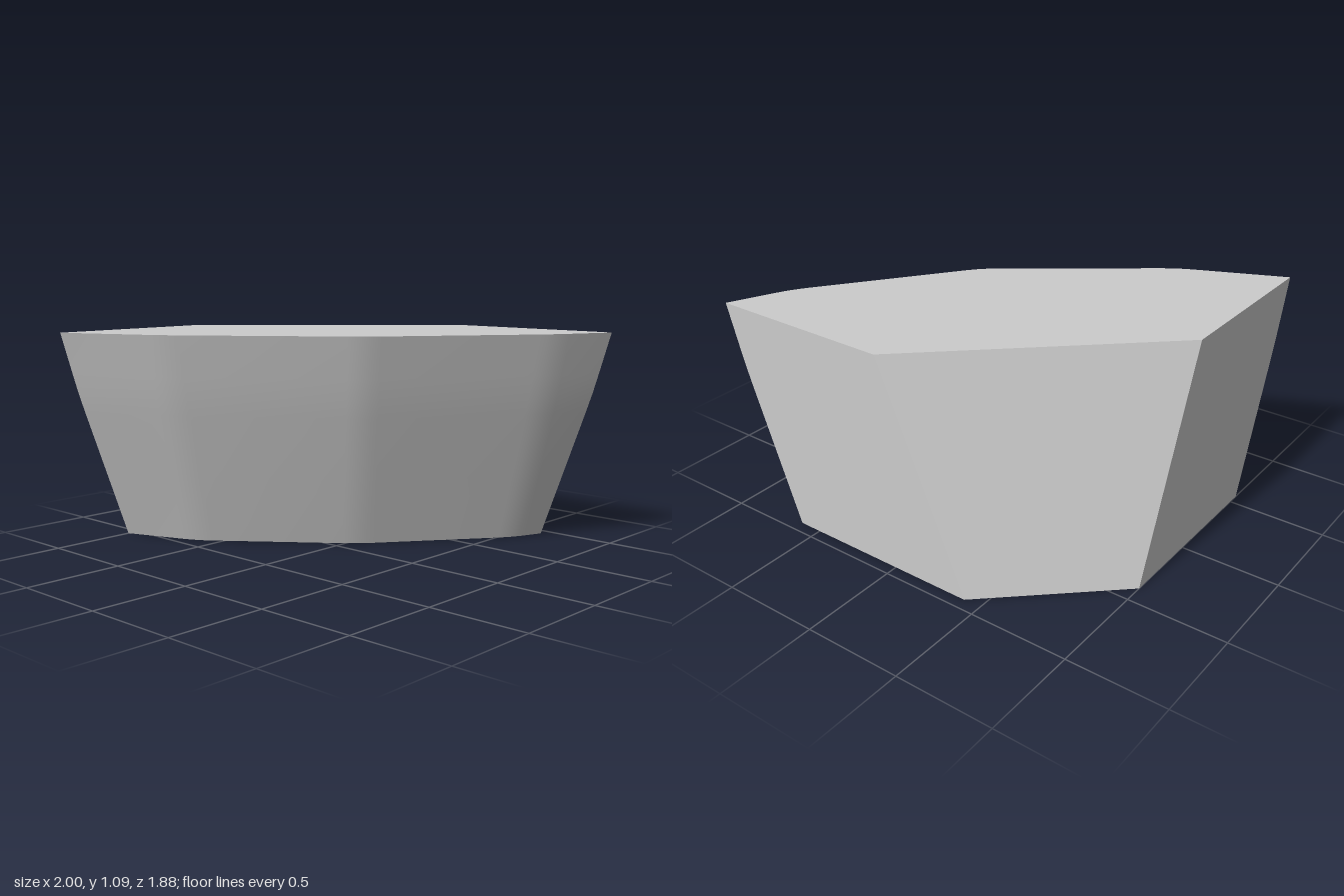
import * as THREE from 'three';
import { toCreasedNormals } from 'three/addons/utils/BufferGeometryUtils.js';

// Matching corners [x, z] of the foot and rim outlines, counterclockwise from above.
// Corners 1-3 are the rounded bends of the bowed front; the last two bound the sloped back.
const FOOT = [[-1, 0.56], [-0.61, 0.41], [0.05, -0.11], [0.555, -0.77], [0.62, -0.94], [-0.41, -0.94], [-1, -0.4]];
const RIM = [[-1, 0.94], [-0.49, 0.715], [0.3, 0.125], [0.868, -0.64], [1, -0.94], [0.06, -0.94], [-1, 0.03]];
const HEIGHT = 1.09;
// Height and flare of the front: steeper above a soft bend
const LEVELS = [[0, 0], [0.35, 0.338], [0.68, 0.657], [0.78, 0.75], [0.88, 0.832], [HEIGHT, 1]];

// Outline at one level, with the three front bends rounded off
function outline(y, flare) {
  const pts = FOOT.map(([x, z], i) => {
    const t = i < 5 ? flare : y / HEIGHT;
    return new THREE.Vector3(x, y, z).lerp(new THREE.Vector3(RIM[i][0], y, RIM[i][1]), t);
  });
  return pts.flatMap((p, i) => {
    if (i < 1 || i > 3) return [p];
    const toward = (q) => p.clone().add(q.clone().sub(p).setLength(0.08));
    return new THREE.QuadraticBezierCurve3(toward(pts[i - 1]), p, toward(pts[i + 1])).getPoints(4);
  });
}

function bodyGeometry() {
  const rings = LEVELS.map(([y, flare]) => outline(y, flare));
  const n = rings[0].length;
  const verts = [];
  const tri = (...corners) => corners.forEach((p) => verts.push(p.x, p.y, p.z));
  const bottom = rings[0];
  const top = rings[rings.length - 1];
  const bottomMid = new THREE.Vector3(-0.3, 0, -0.3);
  const topMid = new THREE.Vector3(0, HEIGHT, 0);
  for (let j = 0; j < n; j++) {
    const k = (j + 1) % n;
    // Walls
    for (let i = 0; i < rings.length - 1; i++) {
      const lower = rings[i];
      const upper = rings[i + 1];
      tri(lower[j], lower[k], upper[k]);
      tri(lower[j], upper[k], upper[j]);
    }
    // Flat foot and top
    tri(bottomMid, bottom[k], bottom[j]);
    tri(topMid, top[j], top[k]);
  }
  const geometry = new THREE.BufferGeometry();
  geometry.setAttribute('position', new THREE.Float32BufferAttribute(verts, 3));
  return toCreasedNormals(geometry, 0.45);
}

export function createModel() {
  const group = new THREE.Group();
  group.name = 'flaredBlock';
  const body = new THREE.Mesh(bodyGeometry(), new THREE.MeshStandardMaterial({ color: 0xcccccc }));
  body.name = 'body';
  group.add(body);
  return group;
}
